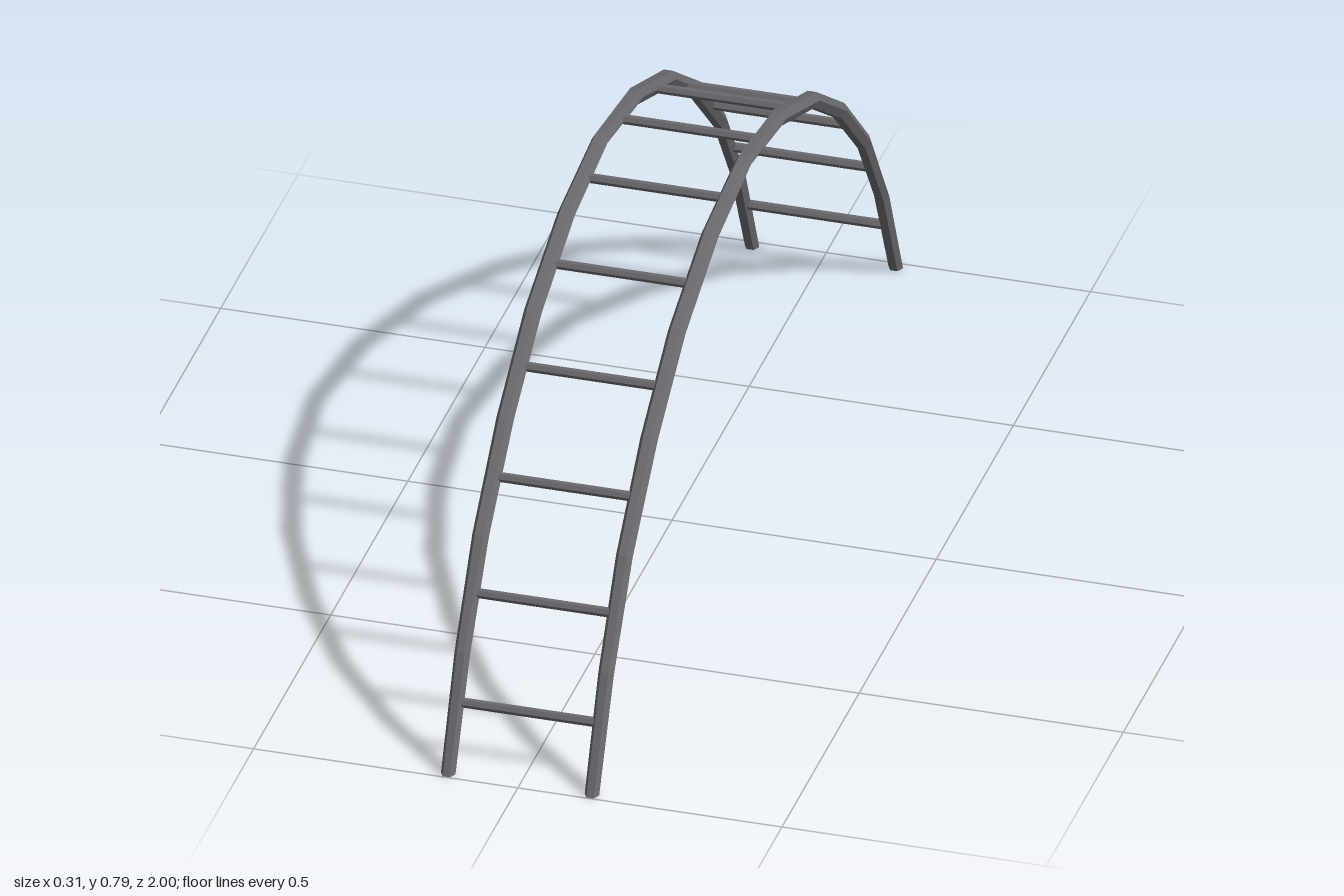
import * as THREE from 'three';

const SIDES = 6;
const RAIL_X = 0.136;

// One half of the arch as [z, y, rail radius], foot to crown
const HALF = [
  [0.985, 0, 0.0137], [0.893, 0.203, 0.0148], [0.775, 0.383, 0.0158], [0.615, 0.54, 0.0165],
  [0.435, 0.664, 0.0168], [0.22, 0.747, 0.0165], [0, 0.779, 0.0155],
];
const ARCH = [...HALF, ...HALF.slice(0, -1).reverse().map(([z, y, r]) => [-z, y, r])];

// Mitred hexagonal tube along the arch, with feet cut level with the ground
function railGeometry() {
  const last = ARCH.length - 1;
  const positions = [];
  const index = [];
  const direction = (i) =>
    new THREE.Vector2(ARCH[i + 1][0] - ARCH[i][0], ARCH[i + 1][1] - ARCH[i][1]).normalize();

  ARCH.forEach(([z, y, r], i) => {
    const before = direction(Math.max(i - 1, 0));
    const after = direction(Math.min(i, last - 1));
    const tangent = before.clone().add(after).normalize();
    // outward direction of the cross-section in the z-y plane
    const out = new THREE.Vector2(tangent.y, -tangent.x);
    if (i === 0) out.set(1, 0);
    if (i === last) out.set(-1, 0);
    const stretch = 1 / Math.abs(out.dot(new THREE.Vector2(after.y, -after.x)));
    for (let j = 0; j < SIDES; j++) {
      const a = (j / SIDES) * Math.PI * 2;
      const h = Math.sin(a) * r * stretch;
      positions.push(Math.cos(a) * r, y + out.y * h, z + out.x * h);
    }
  });

  for (let i = 0; i < last; i++) {
    for (let j = 0; j < SIDES; j++) {
      const a = i * SIDES + j;
      const b = i * SIDES + ((j + 1) % SIDES);
      index.push(a, a + SIDES, b, a + SIDES, b + SIDES, b);
    }
  }
  // End caps
  const end = last * SIDES;
  for (let j = 1; j < SIDES - 1; j++) {
    index.push(0, j, j + 1, end, end + j + 1, end + j);
  }

  const indexed = new THREE.BufferGeometry();
  indexed.setAttribute('position', new THREE.Float32BufferAttribute(positions, 3));
  indexed.setIndex(index);
  const geometry = indexed.toNonIndexed();
  geometry.computeVertexNormals();
  return geometry;
}

export function createModel() {
  const group = new THREE.Group();
  group.name = 'archLadder';
  const metal = new THREE.MeshStandardMaterial({ color: 0x6a6a6f });
  metal.name = 'grey metal';
  metal.flatShading = true;

  // Two curved side rails
  const rail = railGeometry();
  for (const side of [1, -1]) {
    const mesh = new THREE.Mesh(rail, metal);
    mesh.name = side > 0 ? 'leftRail' : 'rightRail';
    mesh.position.x = side * RAIL_X;
    group.add(mesh);
  }

  // Rungs, mirrored front to back
  const rungGeometry = new THREE.CylinderGeometry(0.0092, 0.0092, RAIL_X * 2, 6);
  rungGeometry.rotateZ(Math.PI / 2);
  const rungs = [[0.93, 0.12], [0.833, 0.296], [0.695, 0.463], [0.525, 0.6], [0.328, 0.705], [0.11, 0.763]];
  for (const [z, y] of rungs) {
    for (const side of [1, -1]) {
      const rung = new THREE.Mesh(rungGeometry, metal);
      rung.name = side > 0 ? 'frontRung' : 'backRung';
      rung.position.set(0, y, side * z);
      group.add(rung);
    }
  }
  return group;
}
